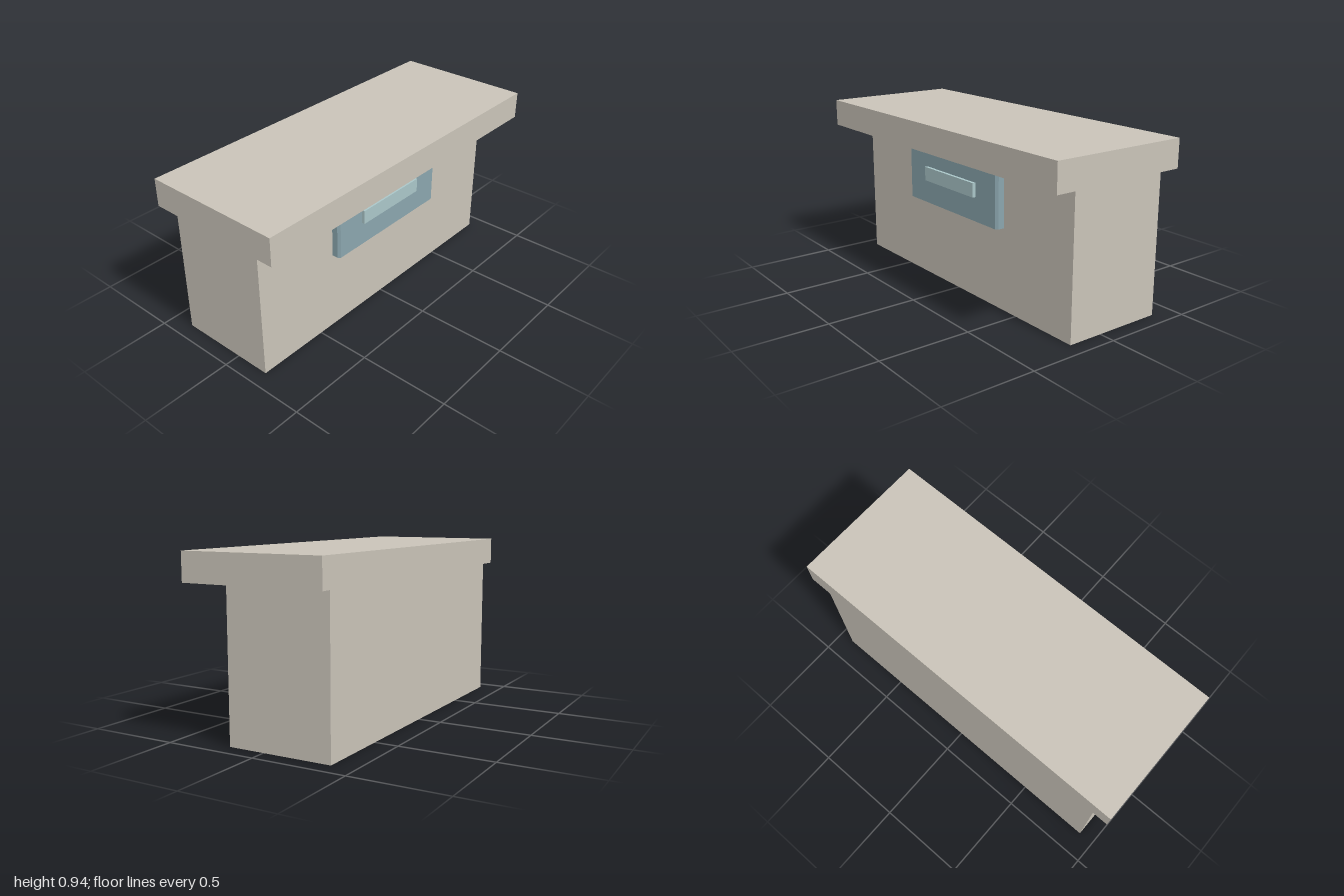
import * as THREE from 'three';

export function createModel() {
  const model = new THREE.Group();
  const stone = new THREE.MeshStandardMaterial({ name: 'warm stone', color: 0xc9c3b8 });
  const blue = new THREE.MeshStandardMaterial({ name: 'dusty blue', color: 0x8aa5ad });
  const pale = new THREE.MeshStandardMaterial({ name: 'pale blue', color: 0xaac6c8 });

  // Box given by its minimum and maximum on each axis
  function box(name, material, [x0, x1], [y0, y1], [z0, z1]) {
    const mesh = new THREE.Mesh(new THREE.BoxGeometry(x1 - x0, y1 - y0, z1 - z0), material);
    mesh.position.set((x0 + x1) / 2, (y0 + y1) / 2, (z0 + z1) / 2);
    mesh.name = name;
    model.add(mesh);
  }

  // Counter body, set back under the overhanging top
  box('counterBody', stone, [-0.373, 0.198], [0, 0.792], [-0.912, 0.912]);
  box('counterTop', stone, [-0.39, 0.39], [0.792, 0.943], [-1, 1]);

  // Side panel: plan outline with chamfered outer corners, extruded upward
  const outline = new THREE.Shape([
    [0.198, -0.4], [0.232, -0.4], [0.245, -0.388],
    [0.245, 0.388], [0.232, 0.4], [0.198, 0.4],
  ].map(([x, z]) => new THREE.Vector2(x, z)));
  const panelGeometry = new THREE.ExtrudeGeometry(outline, { depth: 0.303, bevelEnabled: false });
  panelGeometry.rotateX(-Math.PI / 2);
  const panel = new THREE.Mesh(panelGeometry, blue);
  panel.position.y = 0.45;
  panel.name = 'sidePanel';
  model.add(panel);

  // Raised bar on the panel
  box('panelBar', pale, [0.245, 0.262], [0.582, 0.659], [-0.222, 0.222]);

  return model;
}
